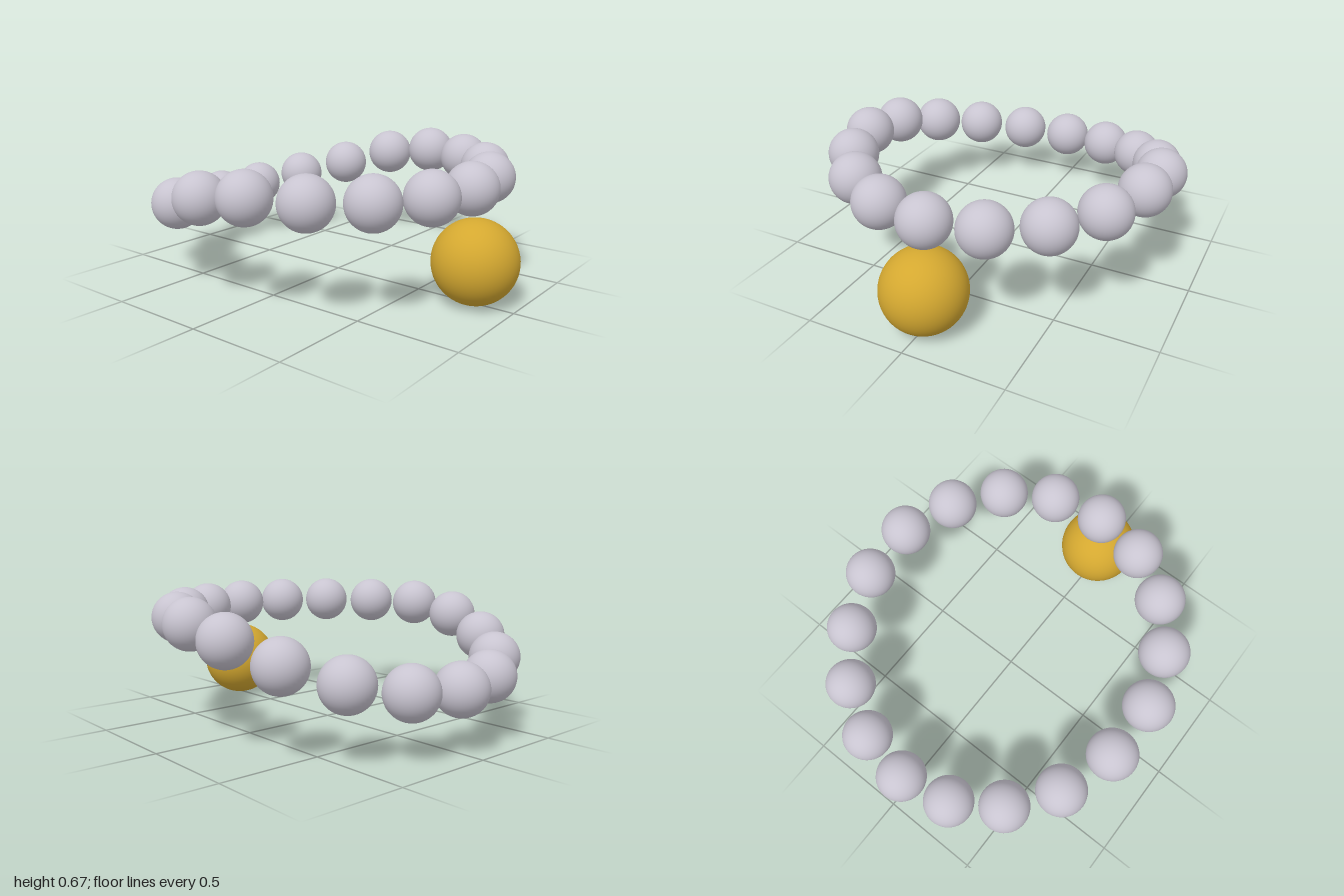
import * as THREE from 'three';

export function createModel() {
  const model = new THREE.Group();
  model.name = 'beadNecklace';

  const pearl = new THREE.MeshStandardMaterial({ color: 0xc8c4d0 });
  pearl.name = 'pearl grey';
  const gold = new THREE.MeshStandardMaterial({ color: 0xd4a830 });
  gold.name = 'gold';

  // Beads on an oval ring; the back half slopes down in a straight line
  const count = 18;
  const beadGeometry = new THREE.SphereGeometry(0.125, 40, 28);
  const beads = new THREE.Group();
  beads.name = 'beadString';
  for (let i = 0; i < count; i++) {
    const angle = (i / count) * Math.PI * 2;
    const along = 0.82 * Math.cos(angle);
    const bead = new THREE.Mesh(beadGeometry, pearl);
    bead.name = 'bead';
    bead.position.set(0.77 * Math.sin(angle), 0.541 + 0.31 * Math.min(0, along), along - 0.055);
    beads.add(bead);
  }
  model.add(beads);

  // Large pendant ball under the front bead
  const pendant = new THREE.Mesh(new THREE.SphereGeometry(0.203, 56, 40), gold);
  pendant.name = 'pendantBall';
  pendant.position.set(0, 0.203, 0.797);
  model.add(pendant);

  return model;
}
